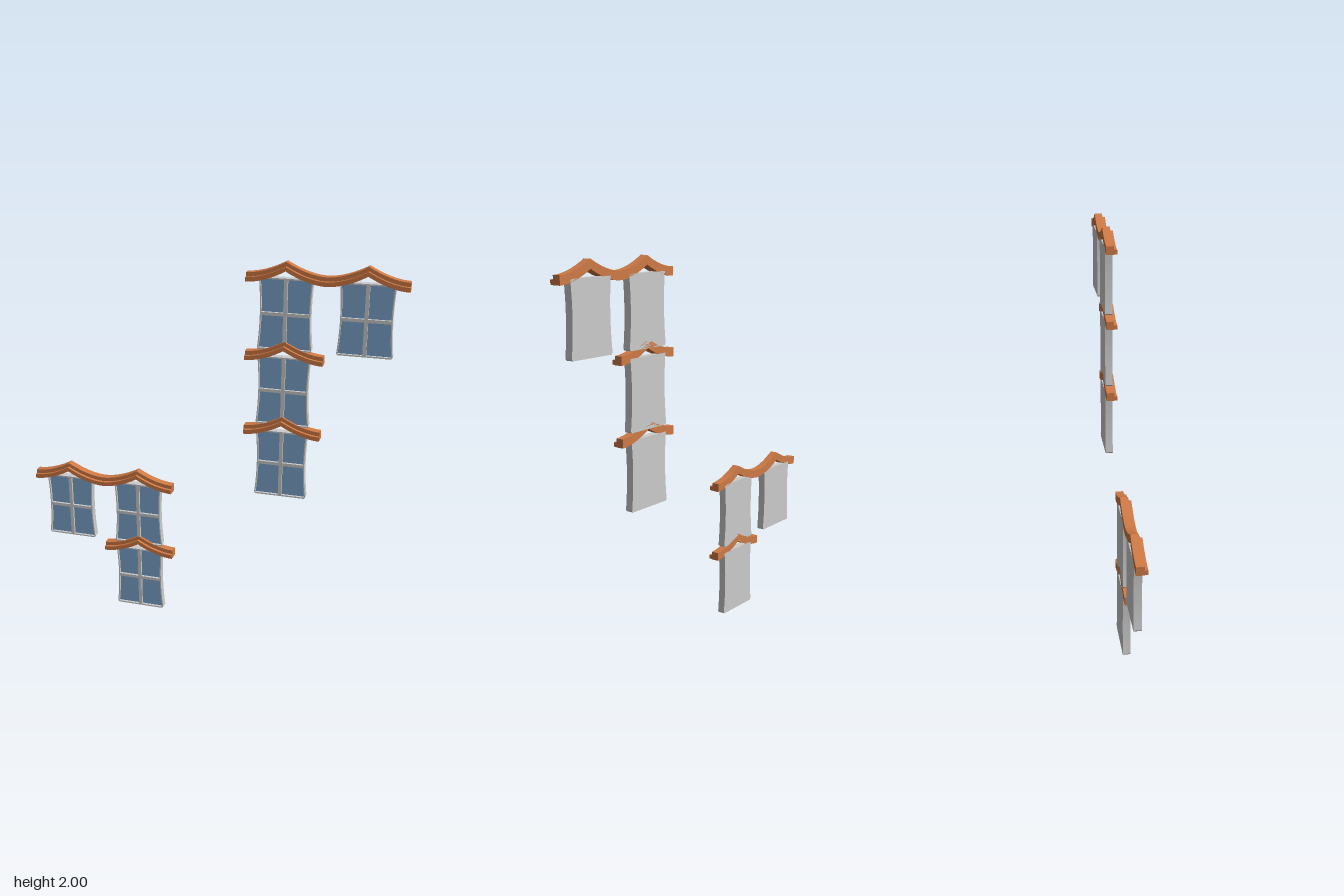
import * as THREE from 'three';

const grey = new THREE.MeshStandardMaterial({ color: 0xcccccc });
const glassMat = new THREE.MeshStandardMaterial({ color: 0x7ba5cc });
const roofMat = new THREE.MeshStandardMaterial({ color: 0xcf7a45 });

const PITCH = 0.389;   // spacing of windows across
const STOREY = 0.391;  // spacing of windows upward
const H = 0.355;       // window height
const BACK = -0.028;

// half width of the waisted window at height y
const halfWidth = (y) => 0.123 + 0.01 * (2 * y / H - 1.1) ** 2;

function extrude(shape, z0, z1) {
  const g = new THREE.ExtrudeGeometry(shape, { depth: z1 - z0, bevelEnabled: false });
  return g.translate(0, 0, z0);
}

function add(group, name, geometry, material) {
  const m = new THREE.Mesh(geometry, material);
  m.name = name;
  group.add(m);
}

// points of the full window outline, with clipped bottom corners
function outline() {
  const right = [new THREE.Vector2(halfWidth(0) - 0.008, 0)];
  for (let i = 0; i <= 8; i++) {
    const y = 0.008 + (H - 0.008) * i / 8;
    right.push(new THREE.Vector2(halfWidth(y), y));
  }
  const left = right.map((p) => new THREE.Vector2(-p.x, p.y)).reverse();
  return [...right, ...left];
}

// one pane between y0 and y1 on side s, its outer edge following the waist
function pane(s, y0, y1) {
  const pts = [new THREE.Vector2(s * 0.009, y0)];
  for (let i = 0; i <= 4; i++) {
    const y = y0 + (y1 - y0) * i / 4;
    pts.push(new THREE.Vector2(s * (halfWidth(y) - 0.006), y));
  }
  pts.push(new THREE.Vector2(s * 0.009, y1));
  return pts;
}

function createWindow() {
  const g = new THREE.Group();
  g.name = 'window';
  add(g, 'windowBack', extrude(new THREE.Shape(outline()), BACK, -0.003), grey);
  const frame = new THREE.Shape(outline());
  for (const s of [-1, 1]) {
    for (const [y0, y1] of [[0.007, 0.17], [0.186, H - 0.007]]) {
      const pts = pane(s, y0, y1);
      frame.holes.push(new THREE.Path(pts));
      add(g, 'glassPane', new THREE.ShapeGeometry(new THREE.Shape(pts)).translate(0, 0, -0.002), glassMat);
    }
  }
  add(g, 'windowFrame', extrude(frame, -0.003, 0.011), grey);
  return g;
}

// wavy roof band: flat at the ends and valleys, sharp over each window
function roofBand(bays, low, high) {
  const n = 24 * bays;
  const curve = [];
  for (let i = 0; i <= n; i++) {
    const u = 1 - Math.abs(((i / 24) % 1) * 2 - 1);
    curve.push([PITCH * (i / 24 - 0.5), 0.061 * u ** 1.8]);
  }
  const lower = curve.map(([x, y]) => new THREE.Vector2(x, y + low));
  const upper = curve.map(([x, y]) => new THREE.Vector2(x, y + high)).reverse();
  return new THREE.Shape([...lower, ...upper]);
}

function createRoof(bays) {
  const g = new THREE.Group();
  g.name = 'roof';
  add(g, 'roofBeam', extrude(roofBand(bays, 0.33, 0.374), BACK, 0.012), roofMat);
  add(g, 'roofLip', extrude(roofBand(bays, 0.332, 0.354), 0.012, 0.028), roofMat);
  return g;
}

export function createModel() {
  const model = new THREE.Group();
  model.name = 'windowsWithRoofs';
  const place = (part, col, storey) => {
    part.position.set(col * PITCH, storey * STOREY, 0);
    model.add(part);
  };
  // windows by column and storey
  const windows = [[-1, 0], [-1, 1], [-2, 1], [1, 2], [1, 3], [1, 4], [2, 4]];
  for (const [c, s] of windows) place(createWindow(), c, s);
  // roofs by leftmost column, storey and number of bays
  const roofs = [[-1, 0, 1], [-2, 1, 2], [1, 2, 1], [1, 3, 1], [1, 4, 2]];
  for (const [c, s, bays] of roofs) place(createRoof(bays), c, s);
  return model;
}
